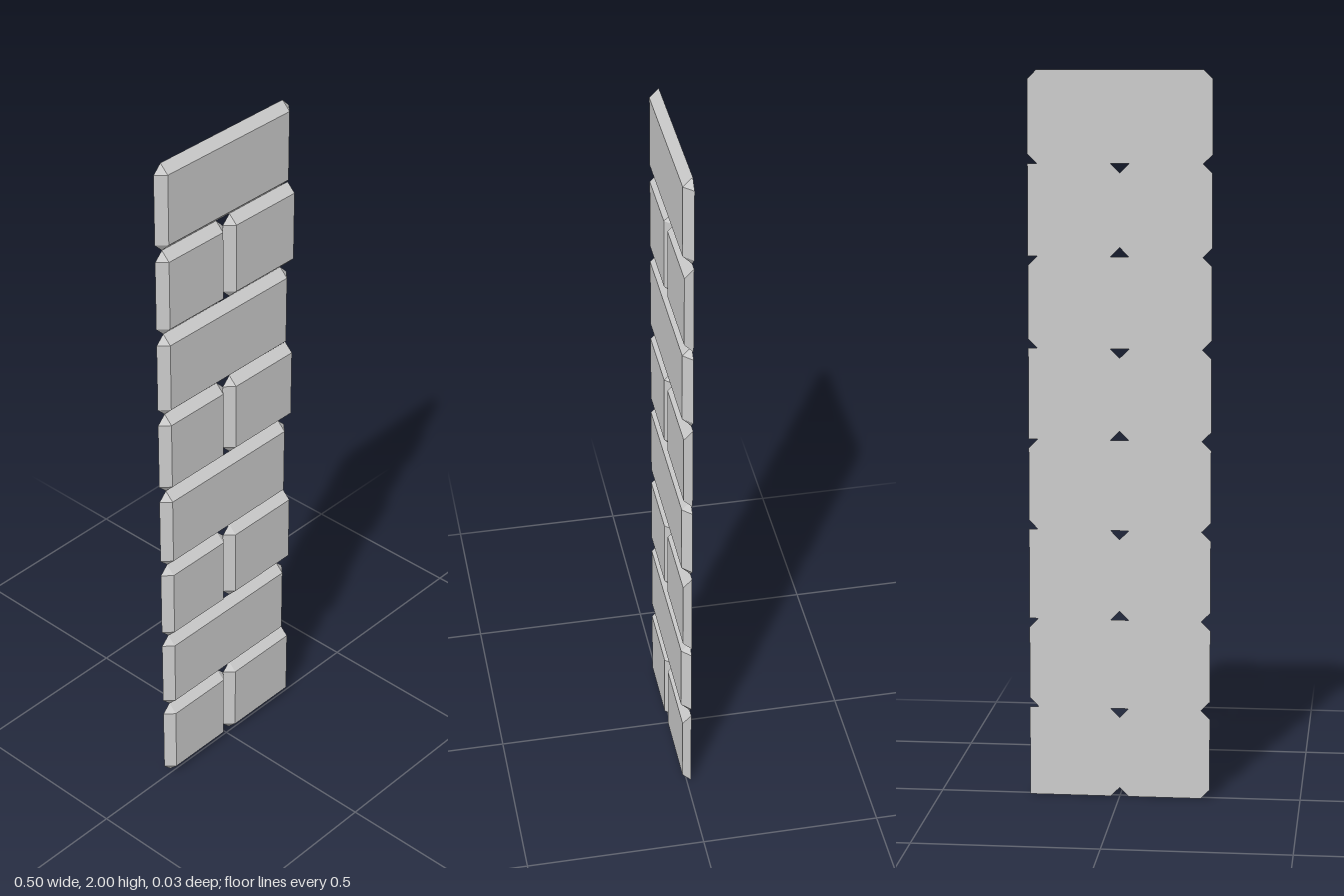
import * as THREE from 'three';

const BEVEL = 0.025, Z = 0.0125, ROW = 0.25;

// Bevelled block: chamfered back outline joined to a smaller front rectangle.
// endBevel = 0 leaves the +x end cut flat.
function blockGeometry(x0, x1, y0, y1, endBevel) {
  const b = BEVEL, r = endBevel;
  const outline = [
    [x0, y0 + b], [x0 + b, y0], [x1 - r, y0], [x1, y0 + b],
    [x1, y1 - b], [x1 - r, y1], [x0 + b, y1], [x0, y1 - b],
  ];
  const face = [[x0 + b, y0 + b], [x1 - r, y0 + b], [x1 - r, y1 - b], [x0 + b, y1 - b]];
  const back = outline.map(([x, y]) => [x, y, -Z]);
  const front = face.map(([x, y]) => [x, y, Z]);
  const pos = [];
  const tri = (...points) => points.forEach((p) => pos.push(...p));

  for (let k = 0; k < 4; k++) {
    const n = (k + 1) % 4, i = 2 * k, j = i + 1, m = (i + 2) % 8;
    tri(back[i], back[j], front[k]); // corner facet
    tri(back[j], back[m], front[n]); // sloping edge
    tri(back[j], front[n], front[k]);
  }
  tri(front[0], front[1], front[2]);
  tri(front[0], front[2], front[3]);
  for (let i = 1; i < 7; i++) {
    // with a flat end, two outline points share a line but no triangle collapses
    tri(back[0], back[i + 1], back[i]);
  }

  const geometry = new THREE.BufferGeometry();
  geometry.setAttribute('position', new THREE.Float32BufferAttribute(pos, 3));
  geometry.computeVertexNormals();
  return geometry;
}

export function createModel() {
  const group = new THREE.Group();
  group.name = 'quoinStrip';
  const material = new THREE.MeshStandardMaterial({ color: 0xcccccc, flatShading: true });

  const addBlock = (name, x0, x1, row, endBevel) => {
    const mesh = new THREE.Mesh(blockGeometry(x0, x1, row * ROW, (row + 1) * ROW, endBevel), material);
    mesh.name = name;
    group.add(mesh);
  };

  // Alternating courses: a pair of blocks, then one long block
  for (let row = 0; row < 8; row++) {
    if (row % 2 === 0) {
      addBlock(`shortBlock${row}`, -0.25, 0, row, BEVEL);
      addBlock(`cutBlock${row}`, 0, 0.25, row, 0);
    } else {
      addBlock(`longBlock${row}`, -0.25, 0.25, row, BEVEL);
    }
  }
  return group;
}
